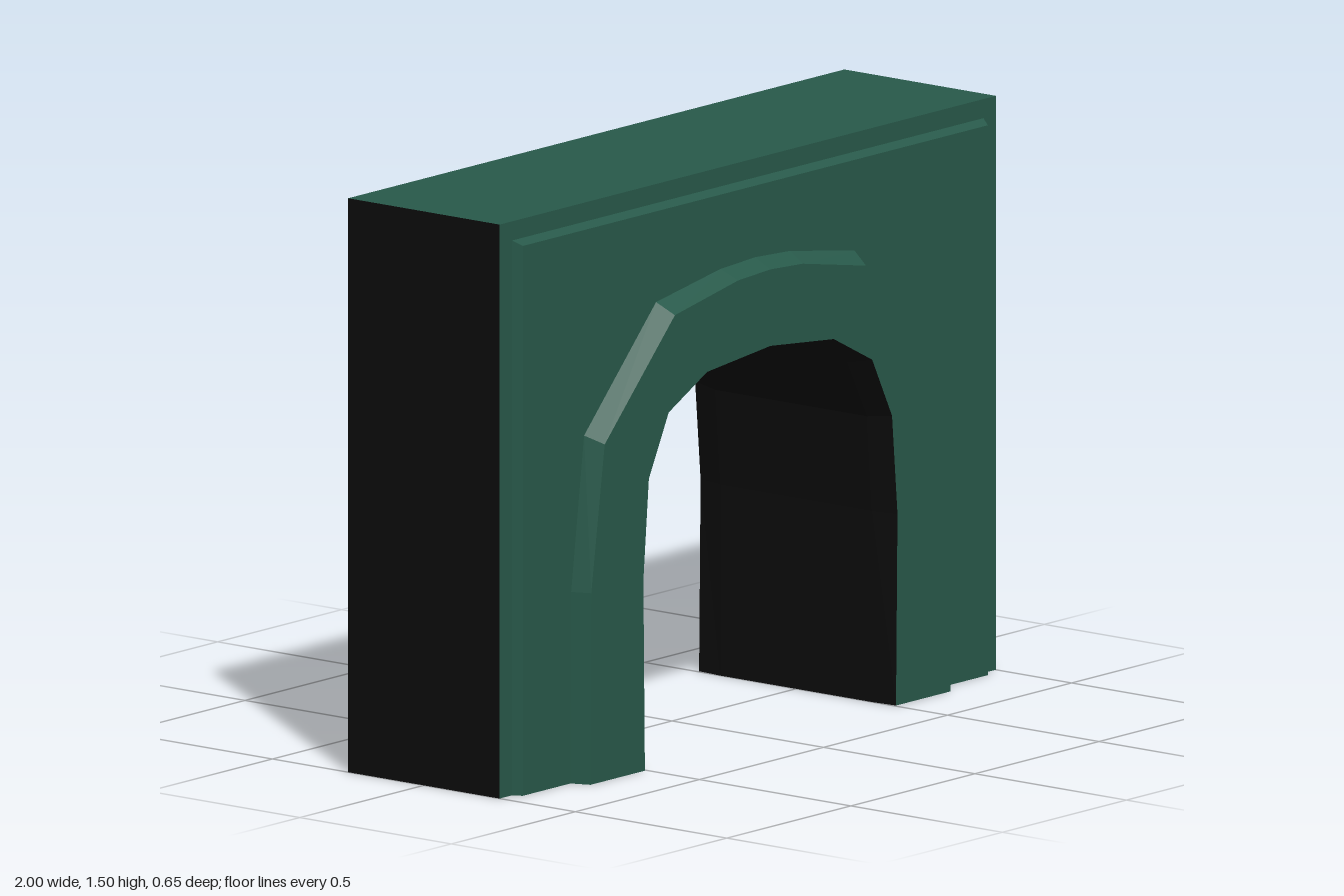
import * as THREE from 'three';

const green = new THREE.MeshStandardMaterial({ color: 0x28594a });
green.name = 'dark green';
const black = new THREE.MeshStandardMaterial({ color: 0x0c0c0c });
black.name = 'black';

// Outlines run from the left-hand foot over the top to the other foot.
// Each is given as its x > 0 half, from foot to crown, and mirrored.
const mirror = (half) => {
  const other = half.map(([x, y]) => [-x, y]);
  const back = half.slice().reverse();
  return other.concat(back[0][0] === 0 ? back.slice(1) : back);
};
const wall = mirror([[1, 0], [1, 1.5]]);
const panelBase = mirror([[0.95, 0], [0.95, 1.45]]);
const panelFace = mirror([[0.937, 0], [0.937, 1.437]]);
const trimBase = mirror([[0.745, 0], [0.742, 0.5], [0.69, 0.9], [0.4, 1.2], [0.14, 1.243], [0, 1.25]]);
const trimFace = mirror([[0.725, 0], [0.722, 0.5], [0.668, 0.88], [0.385, 1.17], [0.13, 1.218], [0, 1.225]]);
const openFace = mirror([[0.506, 0], [0.512, 0.5], [0.49, 0.76], [0.41, 0.92], [0.255, 1.0], [0, 1.025]]);
const openCore = mirror([[0.5, 0], [0.5, 0.5], [0.48, 0.75], [0.4, 0.905], [0.25, 0.98], [0, 1.0]]);

const Z_WALL = 0.25, Z_PANEL = 0.275, Z_TRIM = 0.325;

function mesh(name, geometry, material) {
  const m = new THREE.Mesh(geometry, material);
  m.name = name;
  return m;
}

// Faceted band joining outline a at depth za to outline b at depth zb
function band(a, za, b, zb) {
  const pos = [];
  for (let i = 0; i < a.length - 1; i++) {
    const a0 = [...a[i], za], a1 = [...a[i + 1], za];
    const b0 = [...b[i], zb], b1 = [...b[i + 1], zb];
    pos.push(...a0, ...a1, ...b1, ...a0, ...b1, ...b0);
  }
  const g = new THREE.BufferGeometry();
  g.setAttribute('position', new THREE.Float32BufferAttribute(pos, 3));
  g.computeVertexNormals();
  return g;
}

const flat = (points) =>
  new THREE.ShapeGeometry(new THREE.Shape(points.map(([x, y]) => new THREE.Vector2(x, y))));

// Flat face lying between two outlines
const facing = (outer, inner, z) => flat(outer.concat(inner.slice().reverse())).translate(0, 0, z);

// Stepped relief of one side of the gateway
function createFacade(name) {
  const g = new THREE.Group();
  g.name = name;
  g.add(
    mesh('wallRim', facing(wall, panelBase, Z_WALL), green),
    mesh('panelBevel', band(panelFace, Z_PANEL, panelBase, Z_WALL), green),
    mesh('panel', facing(panelFace, trimBase, Z_PANEL), green),
    mesh('archTrimBevel', band(trimFace, Z_TRIM, trimBase, Z_PANEL), green),
    mesh('archTrim', facing(trimFace, openFace, Z_TRIM), green),
    mesh('openingFlare', band(openCore, Z_WALL, openFace, Z_TRIM), black),
  );
  return g;
}

export function createModel() {
  const model = new THREE.Group();
  model.name = 'archway';

  // Front and back reliefs
  const back = createFacade('backFacade');
  back.rotation.y = Math.PI;
  model.add(createFacade('frontFacade'), back);

  // Top, ends and the inside of the arch
  model.add(
    mesh('top', band(wall.slice(1, 3), Z_WALL, wall.slice(1, 3), -Z_WALL), green),
    mesh('rightEnd', band(wall.slice(0, 2), Z_WALL, wall.slice(0, 2), -Z_WALL), black),
    mesh('leftEnd', band(wall.slice(2), Z_WALL, wall.slice(2), -Z_WALL), black),
    mesh('openingLining', band(openCore, -Z_WALL, openCore, Z_WALL), black),
  );

  // Undersides of the two legs
  const half = [
    [1, Z_WALL], [0.95, Z_WALL], [0.937, Z_PANEL], [0.745, Z_PANEL],
    [0.725, Z_TRIM], [0.506, Z_TRIM], [0.5, Z_WALL],
  ];
  const sole = half.concat(half.slice().reverse().map(([x, z]) => [x, -z]));
  for (const [name, s] of [['leftSole', 1], ['rightSole', -1]]) {
    const g = flat(sole.map(([x, z]) => [s * x, z])).rotateX(Math.PI / 2);
    model.add(mesh(name, g, green));
  }
  return model;
}
